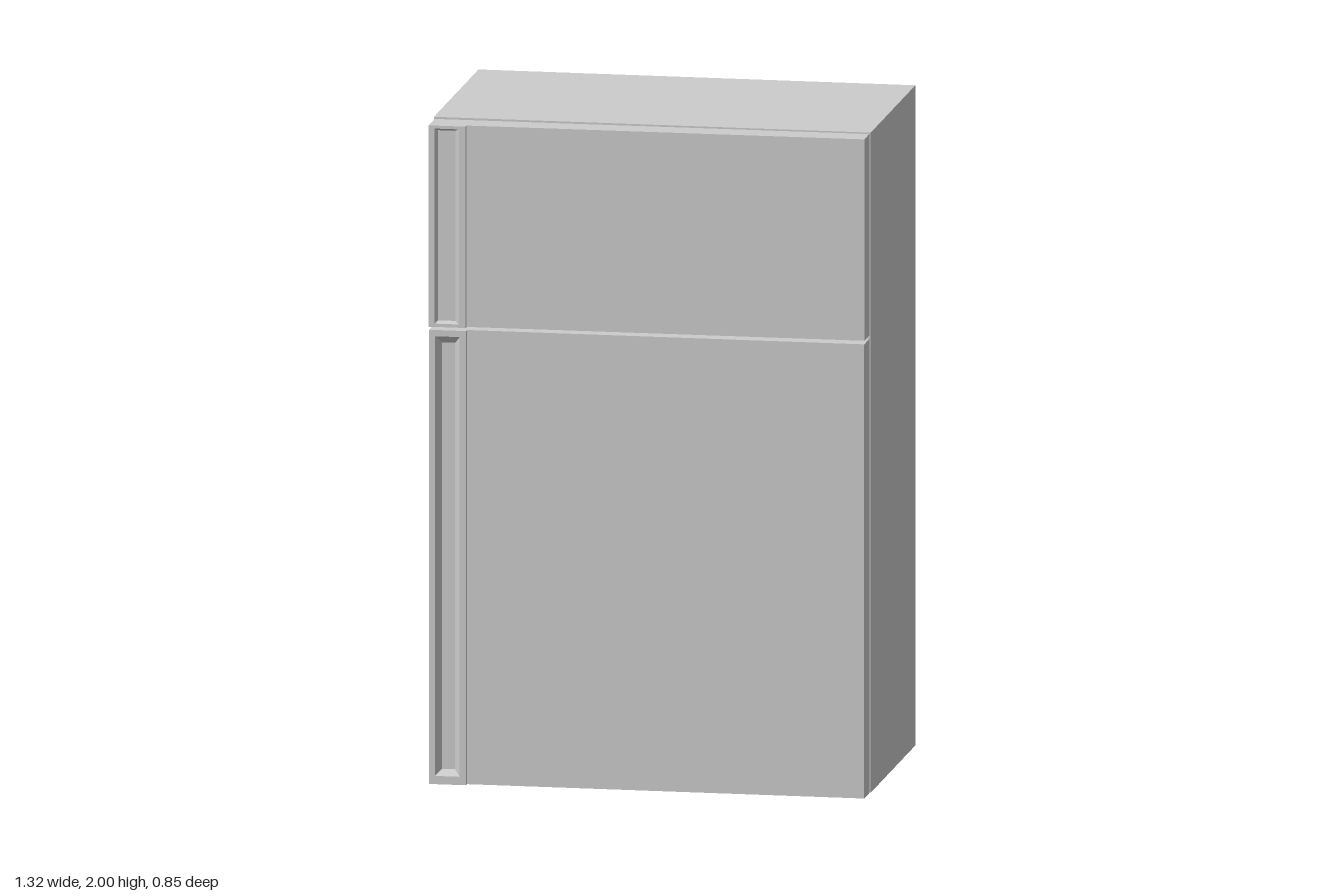
import * as THREE from 'three';

const material = new THREE.MeshStandardMaterial({ color: 0xcccccc, flatShading: true });

// Box from its min and max corners
function box(name, x0, x1, y0, y1, z0, z1) {
  const geo = new THREE.BoxGeometry(x1 - x0, y1 - y0, z1 - z0);
  geo.translate((x0 + x1) / 2, (y0 + y1) / 2, (z0 + z1) / 2);
  const mesh = new THREE.Mesh(geo, material);
  mesh.name = name;
  return mesh;
}

// Joins rectangular rings [x0, x1, y0, y1, z] and caps both ends
function rectLoft(name, rings) {
  const pos = [];
  const index = [];
  for (const [x0, x1, y0, y1, z] of rings) {
    pos.push(x0, y0, z, x1, y0, z, x1, y1, z, x0, y1, z);
  }
  for (let r = 0; r < rings.length - 1; r++) {
    for (let i = 0; i < 4; i++) {
      const a = r * 4 + i;
      const b = r * 4 + (i + 1) % 4;
      index.push(a, b, b + 4, a, b + 4, a + 4);
    }
  }
  const last = (rings.length - 1) * 4;
  index.push(0, 2, 1, 0, 3, 2, last, last + 1, last + 2, last, last + 2, last + 3);
  const indexed = new THREE.BufferGeometry();
  indexed.setAttribute('position', new THREE.Float32BufferAttribute(pos, 3));
  indexed.setIndex(index);
  const geo = indexed.toNonIndexed();
  geo.computeVertexNormals();
  const mesh = new THREE.Mesh(geo, material);
  mesh.name = name;
  return mesh;
}

// Door hung on its right-hand edge, with a raised handle strip holding a sloped pocket
function door(name, y0, y1, pocket, swing) {
  const hingeX = 0.657, hingeZ = 0.317;
  const width = 1.312, split = 1.2, depth = 0.083, raised = 0.1;
  const group = new THREE.Group();
  group.name = name;
  group.position.set(hingeX, 0, hingeZ);
  group.rotation.y = swing;

  const [ox0, ox1, oy0, oy1] = pocket.opening;
  const [fx0, fx1, fy0, fy1] = pocket.floor;
  group.add(
    box('doorPanel', -split, 0, y0, y1, 0, depth),
    rectLoft('handleStrip', [
      [-width, -split, y0, y1, 0],
      [-width, -split, y0, y1, raised],
      [ox0 - hingeX, ox1 - hingeX, oy0, oy1, raised],
      [fx0 - hingeX, fx1 - hingeX, fy0, fy1, raised - 0.022],
    ]),
  );
  return group;
}

export function createModel() {
  const model = new THREE.Group();
  model.name = 'refrigerator';

  // Cabinet
  model.add(box('cabinet', -0.66, 0.66, 0, 2, -0.42, 0.31));

  // Lower door, shut
  model.add(door('lowerDoor', 0, 1.376, {
    opening: [-0.637, -0.562, 0.025, 1.357],
    floor: [-0.62, -0.58, 0.043, 1.335],
  }, 0));

  // Upper door, very slightly ajar
  model.add(door('upperDoor', 1.387, 1.997, {
    opening: [-0.637, -0.564, 1.397, 1.988],
    floor: [-0.63, -0.578, 1.403, 1.979],
  }, 0.007));

  return model;
}
